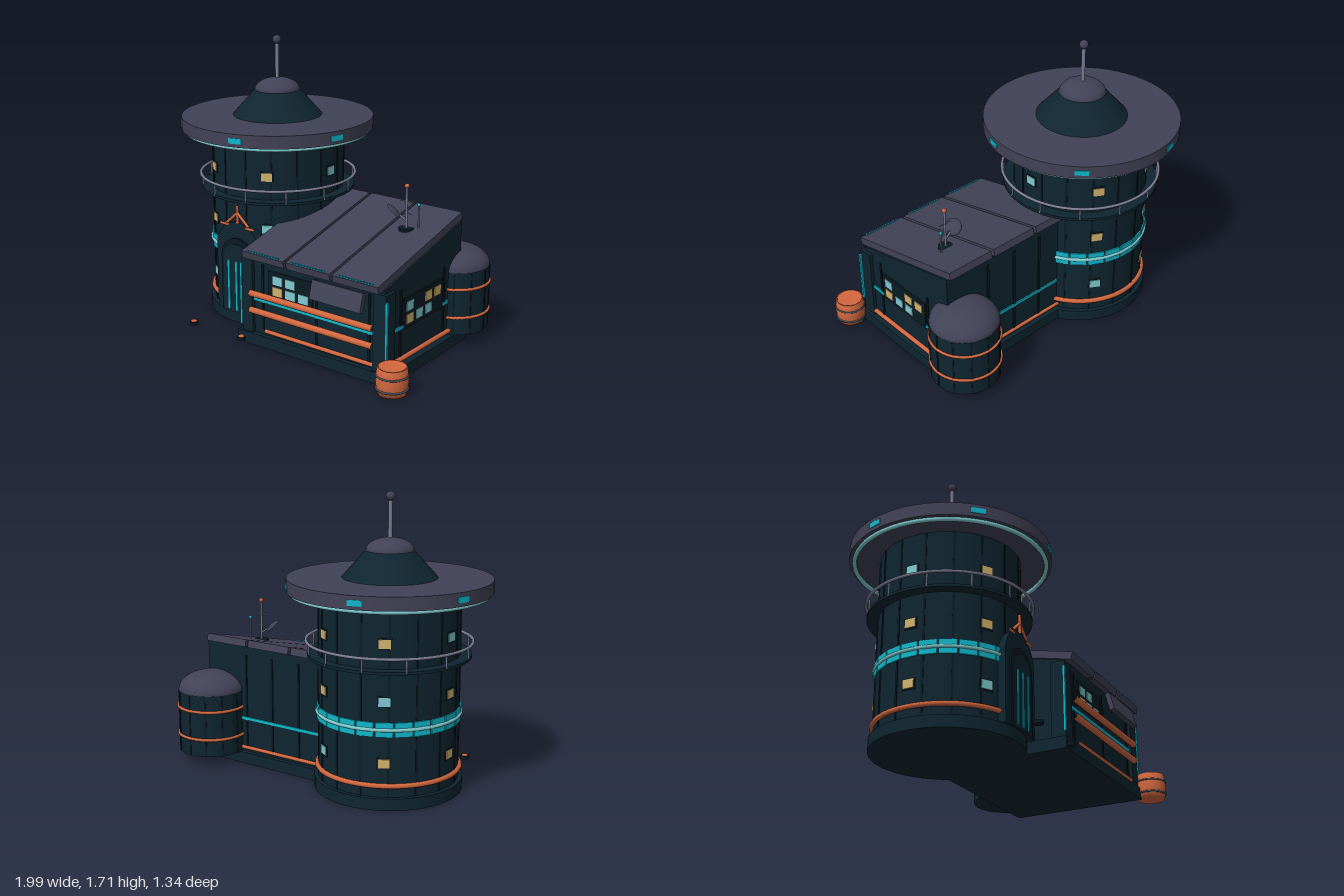
import * as THREE from 'three';

const mat = (name, color) => {
  const m = new THREE.MeshStandardMaterial({ color });
  m.name = name;
  return m;
};

export function createModel() {
  const hull = mat('dark hull', 0x0f2530), trim = mat('dark trim', 0x0a1a24);
  const slate = mat('slate roof', 0x424257), metal = mat('rail metal', 0x7c7d95);
  const copper = mat('copper', 0xd2673f), cyan = mat('cyan light', 0x10b8cc);
  const glass = mat('pale glass', 0x80cbd0), amber = mat('amber glass', 0xd0b26c);
  const band = mat('barrel band', 0x45505f);

  const root = new THREE.Group();
  const group = (name, x = 0, y = 0, z = 0) => {
    const g = new THREE.Group();
    g.name = name;
    g.position.set(x, y, z);
    root.add(g);
    return g;
  };
  const add = (parent, name, geo, material, x = 0, y = 0, z = 0) => {
    const m = new THREE.Mesh(geo, material);
    m.name = name;
    m.position.set(x, y, z);
    parent.add(m);
    return m;
  };
  const box = (p, n, m, w, h, d, x, y, z) => add(p, n, new THREE.BoxGeometry(w, h, d), m, x, y, z);
  // upright cylinder from y0 to y1
  const cyl = (p, n, m, rTop, rBot, y0, y1, x = 0, z = 0, seg = 48) =>
    add(p, n, new THREE.CylinderGeometry(rTop, rBot, y1 - y0, seg), m, x, (y0 + y1) / 2, z);
  const ring = (p, n, m, r, tube, y, x = 0, z = 0) => {
    const t = add(p, n, new THREE.TorusGeometry(r, tube, 8, 64), m, x, y, z);
    t.rotation.x = Math.PI / 2;
    return t;
  };
  const ball = (p, n, m, r, x, y, z) => add(p, n, new THREE.SphereGeometry(r, 16, 12), m, x, y, z);
  const dome = (p, n, m, r, h, y, x = 0, z = 0) => {
    const d = add(p, n, new THREE.SphereGeometry(r, 40, 12, 0, Math.PI * 2, 0, Math.PI / 2), m, x, y, z);
    d.scale.y = h / r;
  };
  // straight rod between two points
  const rod = (p, n, m, r, a, b) => {
    const A = new THREE.Vector3(...a), B = new THREE.Vector3(...b);
    return add(p, n, new THREE.TubeGeometry(new THREE.LineCurve3(A, B), 1, r, 10), m);
  };
  // box on a circle, facing outward at an angle measured from the front
  const around = (p, n, m, w, h, d, r, deg, y) => {
    const a = deg * Math.PI / 180;
    box(p, n, m, w, h, d, r * Math.sin(a), y, r * Math.cos(a)).rotation.y = a;
  };

  // ---- round tower
  const tower = group('tower', -0.415, 0, -0.088);
  cyl(tower, 'towerBase', hull, 0.43, 0.43, 0, 0.07, 0, 0, 64);
  cyl(tower, 'towerBody', hull, 0.405, 0.405, 0.07, 1.16, 0, 0, 64);
  for (let i = 0; i < 16; i++) around(tower, 'wallRib', trim, 0.012, 1.08, 0.01, 0.404, i * 22.5 + 11, 0.61);
  ring(tower, 'copperRing', copper, 0.412, 0.015, 0.137);
  for (const y of [0.433, 0.484])
    for (let i = 0; i < 24; i++) around(tower, 'lightPlate', cyan, 0.1, 0.032, 0.008, 0.41, i * 15, y);
  ring(tower, 'lightRing', glass, 0.414, 0.011, 0.458);
  const rows = { '-150': 'aga', '-90': 'gaa', '-30': 'aag', 30: 'agg', 90: 'gag', 150: 'aag' };
  for (const [deg, code] of Object.entries(rows))
    [0.937, 0.615, 0.265].forEach((y, i) => {
      around(tower, 'windowFrame', trim, 0.078, 0.066, 0.008, 0.404, +deg, y);
      around(tower, 'towerWindow', code[i] === 'a' ? amber : glass, 0.065, 0.05, 0.009, 0.408, +deg, y);
    });

  // balcony with railing
  cyl(tower, 'balcony', hull, 0.47, 0.47, 0.782, 0.798, 0, 0, 64);
  ring(tower, 'rail', metal, 0.476, 0.009, 0.87);
  for (let i = 0; i < 12; i++) {
    const a = (i + 0.5) * Math.PI / 6;
    cyl(tower, 'railPost', metal, 0.006, 0.006, 0.79, 0.87, 0.465 * Math.sin(a), 0.465 * Math.cos(a), 8);
  }

  // disc roof, cone, dome and mast
  ring(tower, 'rimLight', glass, 0.555, 0.013, 1.142);
  cyl(tower, 'discRoof', slate, 0.585, 0.585, 1.153, 1.23, 0, 0, 64);
  for (let i = 0; i < 6; i++) around(tower, 'rimLamp', cyan, 0.082, 0.032, 0.009, 0.584, 15 + 60 * i, 1.19);
  cyl(tower, 'roofCone', hull, 0.135, 0.272, 1.23, 1.385);
  dome(tower, 'roofDome', slate, 0.138, 0.075, 1.38);
  cyl(tower, 'mast', metal, 0.012, 0.012, 1.44, 1.67, 0, 0, 12);
  ball(tower, 'mastBall', slate, 0.027, 0, 1.685, 0);

  // ---- arched entrance
  const door = group('entrance', -0.38, 0.07, 0.2);
  const arch = (name, m, w, h, d, z) => {
    const s = new THREE.Shape();
    s.moveTo(-w, 0);
    s.lineTo(w, 0);
    s.lineTo(w, h - w);
    s.absarc(0, h - w, w, 0, Math.PI, false);
    add(door, name, new THREE.ExtrudeGeometry(s, { depth: d, bevelEnabled: false, curveSegments: 20 }), m, 0, 0, z);
  };
  arch('archPorch', hull, 0.168, 0.575, 0.14, 0);
  arch('doorFrame', trim, 0.125, 0.475, 0.01, 0.14);
  arch('doorLeaf', hull, 0.105, 0.44, 0.008, 0.148);
  for (const x of [-0.06, 0, 0.06]) box(door, 'doorLight', cyan, 0.014, 0.315, 0.008, x, 0.175, 0.158);
  rod(door, 'crestPost', copper, 0.009, [0, 0.57, 0.14], [0, 0.685, 0.14]);
  for (const s of [-1, 1]) {
    rod(door, 'crestBrace', copper, 0.009, [0, 0.635, 0.14], [s * 0.085, 0.56, 0.14]);
    rod(door, 'crestFoot', copper, 0.008, [s * 0.065, 0.55, 0.14], [s * 0.135, 0.55, 0.14]);
  }
  for (const x of [-0.57, -0.19]) {
    const b = group('pathLamp', x, 0, 0.54);
    cyl(b, 'lampBase', trim, 0.026, 0.026, 0.012, 0.032, 0, 0, 16);
    dome(b, 'lampCap', copper, 0.02, 0.012, 0.03);
  }

  // ---- annex with a sloping roof
  const annex = group('annex');
  box(annex, 'annexBase', hull, 1.06, 0.07, 0.83, 0.31, 0.035, 0.115);
  const side = new THREE.Shape([[-0.5, 0.07], [0.27, 0.07], [0.27, 0.73], [-0.5, 0.54]]
    .map(([x, y]) => new THREE.Vector2(x, y)));
  add(annex, 'annexWalls', new THREE.ExtrudeGeometry(side, { depth: 0.95, bevelEnabled: false }), hull, -0.15)
    .rotation.y = Math.PI / 2;
  const slope = 0.24;
  for (let i = 0; i < 3; i++) {
    const x = -0.011 + i * 0.324;
    box(annex, 'roofPanel', slate, 0.306, 0.045, 0.865, x, 0.655, 0.13).rotation.x = slope;
    for (let k = 0; k < 12; k++)
      box(annex, 'eaveLight', cyan, 0.012, 0.008, 0.01, x - 0.11 + k * 0.02, 0.579, 0.548);
  }
  box(annex, 'roofUnderlay', trim, 0.94, 0.02, 0.82, 0.313, 0.645, 0.13).rotation.x = slope;

  // corner posts with light strips
  box(annex, 'cornerPost', hull, 0.08, 0.45, 0.09, -0.155, 0.295, 0.475);
  box(annex, 'cornerPost', hull, 0.085, 0.45, 0.09, 0.778, 0.295, 0.475);
  box(annex, 'cornerLight', cyan, 0.014, 0.38, 0.014, -0.2, 0.295, 0.517);
  box(annex, 'cornerLight', cyan, 0.014, 0.33, 0.014, 0.826, 0.32, 0.52);

  // front pipes, strip, windows and awning
  for (const y of [0.32, 0.217]) rod(annex, 'frontPipe', copper, 0.019, [-0.12, y, 0.534], [0.745, y, 0.534]);
  rod(annex, 'lowPipe', copper, 0.012, [-0.03, 0.095, 0.508], [0.735, 0.095, 0.508]);
  box(annex, 'frontStrip', cyan, 0.85, 0.022, 0.009, 0.31, 0.28, 0.505);
  for (const x of [-0.05, 0.34, 0.7]) box(annex, 'frontRib', trim, 0.014, 0.4, 0.012, x, 0.3, 0.5);
  box(annex, 'frontFrame', trim, 0.32, 0.15, 0.012, 0.155, 0.4, 0.5);
  [[0.065, 0.425, glass], [0.157, 0.425, glass], [0.065, 0.358, amber], [0.157, 0.358, glass], [0.251, 0.358, glass]]
    .forEach(([x, y, m]) => box(annex, 'frontWindow', m, 0.07, 0.052, 0.009, x, y, 0.506));
  box(annex, 'awning', slate, 0.345, 0.11, 0.03, 0.52, 0.46, 0.553).rotation.x = -0.27;

  // side wall windows, strips and pipe
  box(annex, 'sideFrame', trim, 0.014, 0.18, 0.4, 0.802, 0.352, 0.13);
  [[0.27, 0.388, glass], [0.083, 0.388, amber], [-0.01, 0.388, amber],
    [0.27, 0.313, amber], [0.175, 0.313, glass], [0.083, 0.313, glass]]
    .forEach(([z, y, m]) => box(annex, 'sideWindow', m, 0.009, 0.056, 0.068, 0.809, y, z));
  box(annex, 'sideStrip', cyan, 0.009, 0.02, 0.1, 0.803, 0.28, 0.38);
  box(annex, 'sideStrip', cyan, 0.009, 0.02, 0.07, 0.803, 0.28, -0.1);
  rod(annex, 'sidePipe', copper, 0.014, [0.808, 0.095, 0.43], [0.808, 0.095, -0.2]);
  for (const z of [-0.09, 0.35]) box(annex, 'sideRib', trim, 0.012, 0.4, 0.014, 0.8, 0.3, z);

  // back wall strip, pipe and ribs
  box(annex, 'backStrip', cyan, 0.6, 0.02, 0.009, 0.25, 0.28, -0.273);
  rod(annex, 'backPipe', copper, 0.011, [-0.1, 0.095, -0.275], [0.6, 0.095, -0.275]);
  for (const x of [0.1, 0.3, 0.5]) box(annex, 'backRib', trim, 0.014, 0.6, 0.012, x, 0.38, -0.27);

  // ---- roof antennas and dish
  const aerial = group('aerials');
  cyl(aerial, 'aerialFoot', trim, 0.045, 0.045, 0.695, 0.718, 0.59, -0.01, 20);
  cyl(aerial, 'aerialMast', metal, 0.007, 0.007, 0.7, 0.96, 0.59, -0.01, 10);
  ball(aerial, 'aerialBall', copper, 0.014, 0.59, 0.965, -0.01);
  for (const [y, w] of [[0.875, 0.045], [0.805, 0.035]])
    rod(aerial, 'crossbar', metal, 0.004, [0.59 - w, y, -0.01], [0.59 + w, y, -0.01]);
  cyl(aerial, 'thinMast', metal, 0.005, 0.005, 0.71, 0.85, 0.65, -0.045, 8);
  ball(aerial, 'thinMastBall', cyan, 0.01, 0.65, 0.855, -0.045);
  const dish = add(aerial, 'dish', new THREE.SphereGeometry(0.052, 24, 8, 0, Math.PI * 2, 0, Math.PI / 2),
    new THREE.MeshStandardMaterial({ color: 0x424257, side: THREE.DoubleSide }), 0.515, 0.805, 0.01);
  dish.material.name = 'dish slate';
  dish.scale.y = 0.35;
  dish.rotation.set(-0.5, 0, -0.6);
  rod(aerial, 'dishArm', metal, 0.006, [0.52, 0.805, 0.005], [0.59, 0.76, -0.01]);

  // ---- storage tank
  const tank = group('tank', 0.73, 0, -0.33);
  cyl(tank, 'tankBody', hull, 0.203, 0.203, 0.07, 0.45);
  dome(tank, 'tankDome', slate, 0.202, 0.115, 0.45);
  for (const y of [0.35, 0.177]) ring(tank, 'tankRing', copper, 0.205, 0.009, y);
  for (let i = 0; i < 12; i++) around(tank, 'tankRib', trim, 0.01, 0.37, 0.008, 0.202, i * 30, 0.258);

  // ---- barrel
  const barrel = group('barrel', 0.9, 0, 0.57);
  const profile = [[0, 0.008], [0.08, 0.008], [0.088, 0.05], [0.09, 0.085], [0.088, 0.12], [0.082, 0.16], [0.075, 0.16], [0.075, 0.152], [0, 0.152]];
  add(barrel, 'barrelBody', new THREE.LatheGeometry(profile.map(([x, y]) => new THREE.Vector2(x, y)), 28), copper);
  for (const y of [0.04, 0.115]) ring(barrel, 'barrelHoop', band, 0.087, 0.006, y);

  return root;
}
